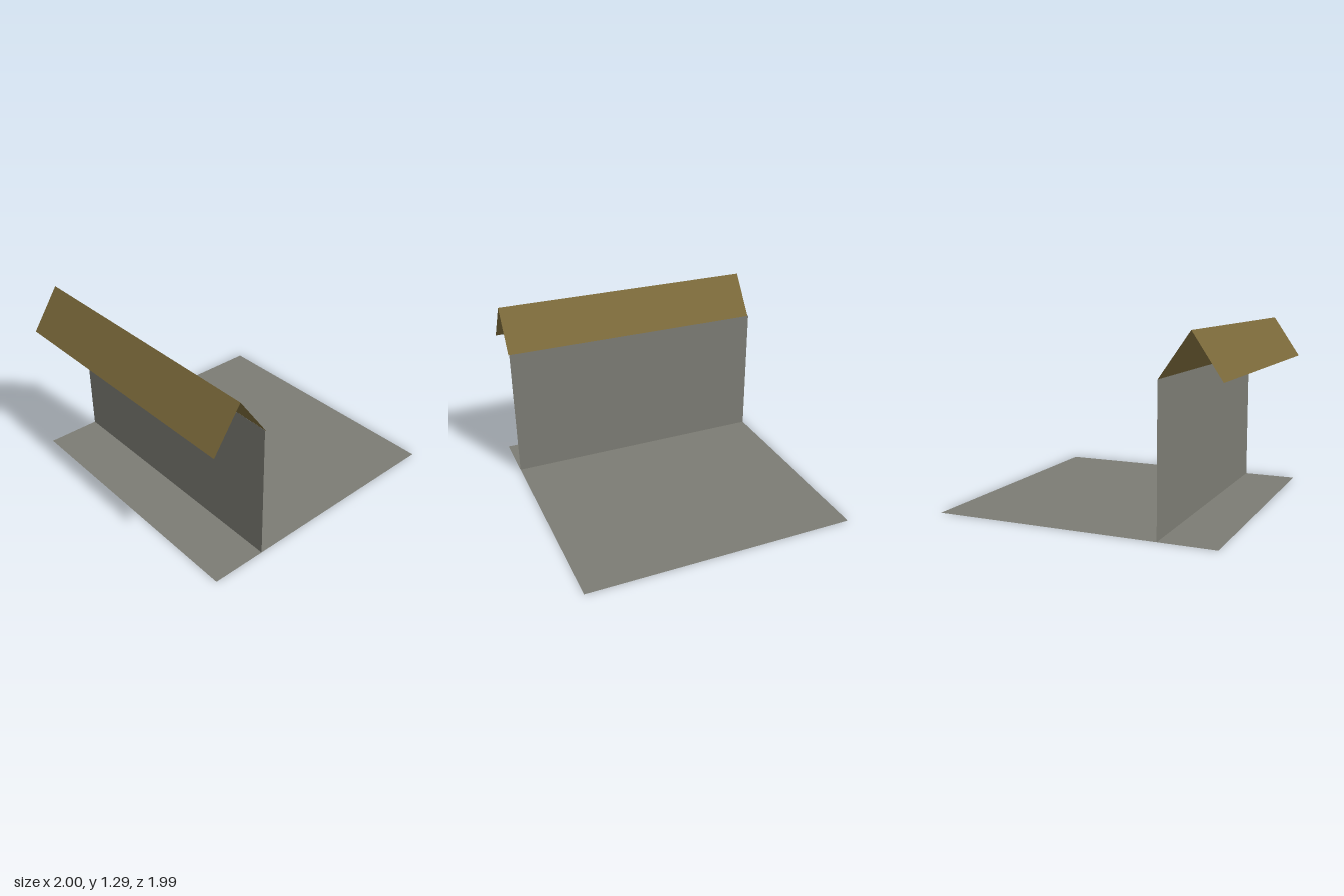
import * as THREE from 'three';

export function createModel() {
  const model = new THREE.Group();
  model.name = 'wallWithGableCap';

  const stone = new THREE.MeshStandardMaterial({ name: 'grey stone', color: 0x7c7c74, side: THREE.DoubleSide });
  const timber = new THREE.MeshStandardMaterial({ name: 'brown roof', color: 0x7a693a, side: THREE.DoubleSide });

  // Flat sheet swept along z between two points [x, y] of the section
  function sheet(name, material, a, b, zBack, zFront) {
    const dx = b[0] - a[0], dy = b[1] - a[1];
    const geometry = new THREE.PlaneGeometry(Math.hypot(dx, dy), zFront - zBack);
    geometry.rotateX(-Math.PI / 2);
    geometry.rotateZ(Math.atan2(dy, dx));
    const mesh = new THREE.Mesh(geometry, material);
    mesh.name = name;
    mesh.position.set((a[0] + b[0]) / 2, (a[1] + b[1]) / 2, (zBack + zFront) / 2);
    model.add(mesh);
  }

  // Ground slab and upright wall
  sheet('floor', stone, [-0.987, 0], [1, 0], -0.996, 0.987);
  sheet('wall', stone, [-0.595, 0.995], [-0.595, 0], -0.996, 0.987);

  // Two roof slopes meeting at the ridge
  const ridge = [-0.8, 1.29];
  sheet('leftRoofSlope', timber, ridge, [-0.592, 0.993], -0.988, 0.994);
  sheet('rightRoofSlope', timber, [-1, 0.993], ridge, -0.988, 0.994);

  return model;
}
